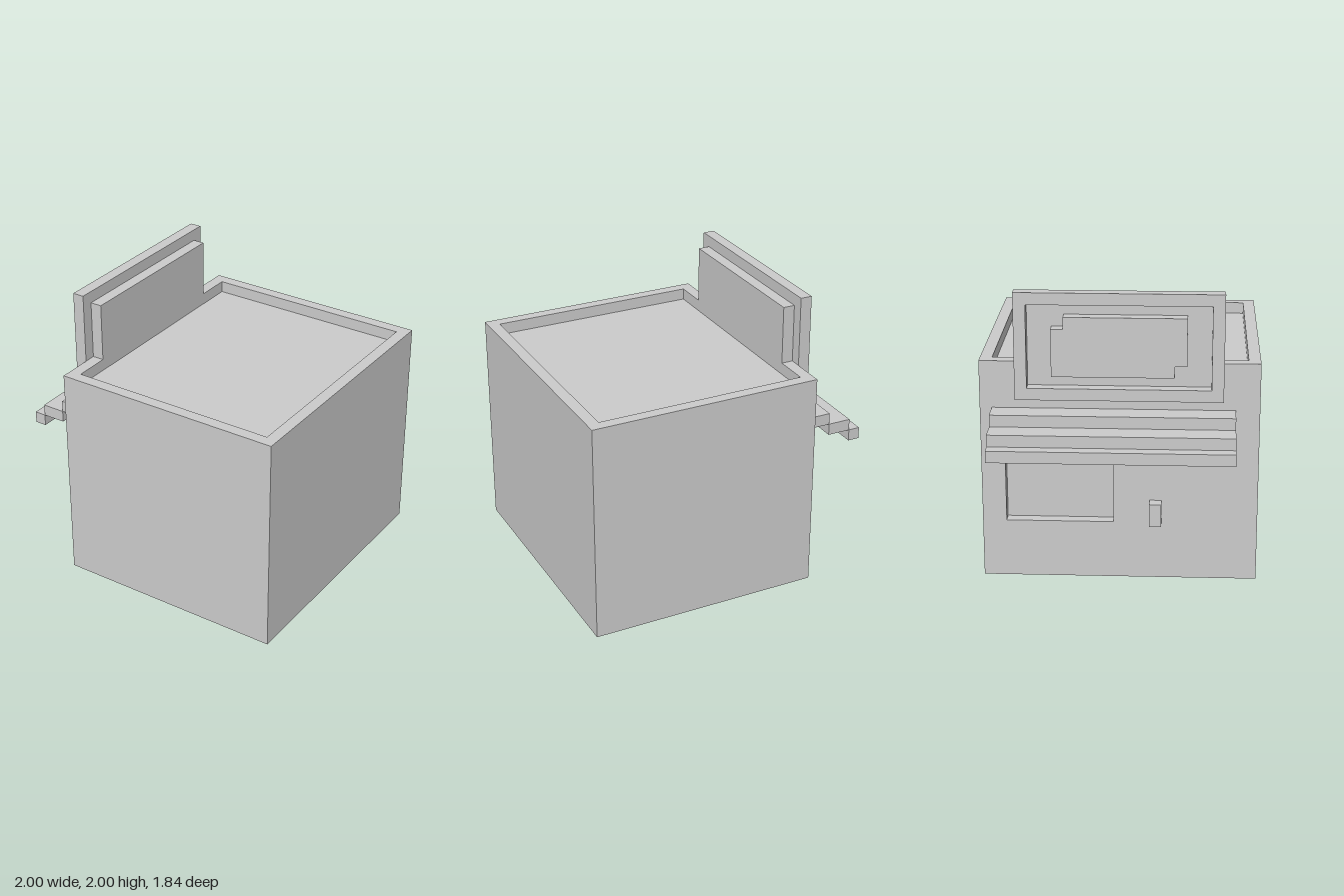
import * as THREE from 'three';

const U = 0.08; // thickness of every wall, frame and trim
const material = new THREE.MeshStandardMaterial({ color: 0xcccccc, flatShading: true });

// Box given by its minimum and maximum corners
function box(name, [x0, y0, z0], [x1, y1, z1]) {
  const geometry = new THREE.BoxGeometry(x1 - x0, y1 - y0, z1 - z0);
  geometry.translate((x0 + x1) / 2, (y0 + y1) / 2, (z0 + z1) / 2);
  const mesh = new THREE.Mesh(geometry, material);
  mesh.name = name;
  return mesh;
}

// Closed rectangle in the (z, y) plane of the shopfront
const rect = (z0, y0, z1, y1) =>
  [[z0, y0], [z1, y0], [z1, y1], [z0, y1]].map(([z, y]) => new THREE.Vector2(z, y));

// Plate drawn in (z, y), starting at x and growing towards -x
function plate(name, x, outline, hole) {
  const shape = new THREE.Shape(outline);
  if (hole) shape.holes.push(new THREE.Path(hole));
  const geometry = new THREE.ExtrudeGeometry(shape, { depth: U, bevelEnabled: false });
  geometry.rotateY(-Math.PI / 2).translate(x, 0, 0);
  const mesh = new THREE.Mesh(geometry, material);
  mesh.name = name;
  return mesh;
}

export function createModel() {
  const model = new THREE.Group();
  model.name = 'shop';
  const front = -0.6, back = 1, side = 0.92, top = 1.52, roof = top - U;

  // Building body with a sunken flat roof
  model.add(box('body', [front + U, 0, -side], [back, roof, side]));

  // Shopfront wall with the recessed window
  model.add(plate('shopfrontWall', front + U,
    rect(-side, 0, side, top), rect(-0.76, 0.4, -0.04, 1.04)));

  // Parapet on the other three sides
  const parapet = new THREE.Group();
  parapet.name = 'parapet';
  parapet.add(box('parapetRear', [back - U, roof, -side], [back, top, side]));
  for (const s of [-1, 1]) {
    const z = s * (side - U / 2);
    parapet.add(box('parapetSide', [front + U, roof, z - U / 2], [back - U, top, z + U / 2]));
  }
  model.add(parapet);

  // Stepped awning: [outer x, inner x, bottom y]
  const awning = new THREE.Group();
  awning.name = 'awning';
  for (const [x0, x1, y] of [[-0.76, -0.6, 1.12], [-0.92, -0.76, 1.04], [-1, -0.92, 0.96]]) {
    awning.add(box('awningStep', [x0, y, -0.84], [x1, y + U, 0.76]));
  }
  model.add(awning);

  // Door handle
  model.add(box('doorHandle', [front - U, 0.4, 0.2], [front, 0.56, 0.28]));

  // Sign: frame, backing panel above the parapet, and notched raised emblem
  const sign = new THREE.Group();
  sign.name = 'sign';
  sign.add(plate('signFrame', front, rect(-0.68, 1.28, 0.68, 2), rect(-0.6, 1.36, 0.6, 1.92)));
  sign.add(box('signBacking', [front, top, -0.6], [front + U, 1.92, 0.6]));
  const emblem = [[-0.44, 1.44], [0.36, 1.44], [0.36, 1.52], [0.44, 1.52],
    [0.44, 1.84], [-0.36, 1.84], [-0.36, 1.76], [-0.44, 1.76]];
  sign.add(plate('signPanel', front, emblem.map(([z, y]) => new THREE.Vector2(z, y))));
  model.add(sign);

  return model;
}
